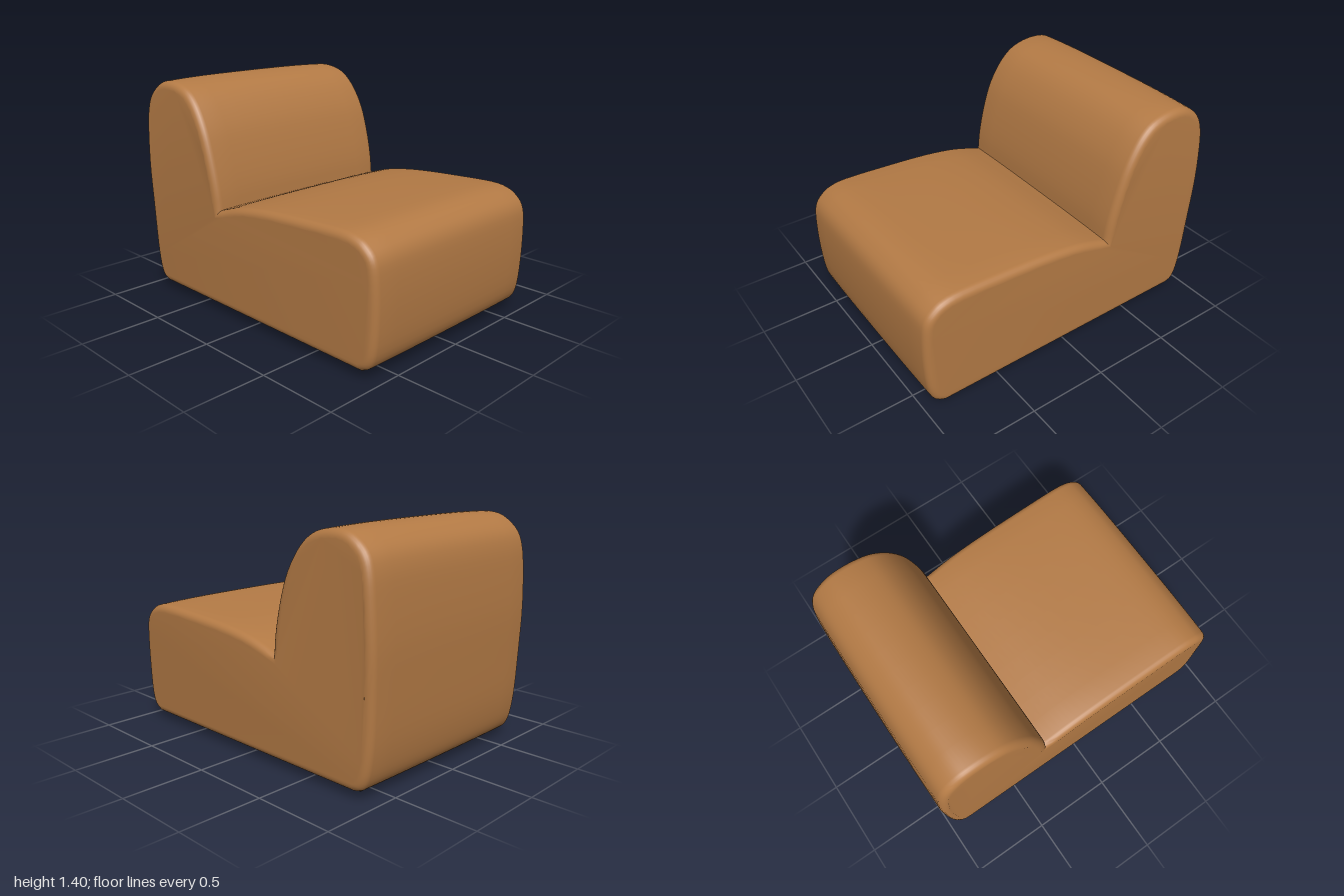
import * as THREE from 'three';
import { toCreasedNormals } from 'three/addons/utils/BufferGeometryUtils.js';

const material = (name, color) => {
  const m = new THREE.MeshStandardMaterial({ color });
  m.name = name;
  return m;
};
const points = (list) => list.map(([a, b]) => new THREE.Vector2(a, b));

// Side outline of the chair as (z, y): front and seat, then backrest and rear
const seatCurve = points([
  [0.95, 0.08], [0.985, 0.18], [1.0, 0.4], [0.995, 0.6], [0.975, 0.69], [0.93, 0.745],
  [0.87, 0.78], [0.76, 0.797], [0.5, 0.788], [0.2, 0.77], [0, 0.745], [-0.13, 0.715], [-0.262, 0.67],
]);
const backCurve = points([
  [-0.273, 0.77], [-0.297, 0.89], [-0.335, 1.03], [-0.375, 1.14], [-0.43, 1.24], [-0.49, 1.315],
  [-0.56, 1.367], [-0.65, 1.395], [-0.74, 1.402], [-0.82, 1.39], [-0.89, 1.35], [-0.943, 1.295],
  [-0.972, 1.22], [-0.988, 1.1], [-1.0, 0.85], [-0.995, 0.6], [-0.985, 0.35], [-0.968, 0.2],
  [-0.945, 0.11], [-0.91, 0.06], [-0.86, 0.042],
]);

function upholsteryGeometry() {
  const shape = new THREE.Shape();
  shape.moveTo(0.89, 0.042);
  shape.splineThru(seatCurve);
  shape.splineThru(backCurve);
  const round = 0.045;
  const depth = 1.4 - 2 * round;
  const geo = new THREE.ExtrudeGeometry(shape, {
    depth, steps: 10, curveSegments: 3,
    bevelEnabled: true, bevelThickness: round, bevelSize: round, bevelOffset: -round, bevelSegments: 6,
  });
  geo.translate(0, 0, -depth / 2);
  geo.rotateY(-Math.PI / 2);
  // Soft padding: widest at mid backrest, with top and ends easing off toward the sides
  const p = geo.attributes.position;
  const ramp = THREE.MathUtils.smoothstep;
  for (let i = 0; i < p.count; i++) {
    const x = p.getX(i), y = p.getY(i), z = p.getZ(i);
    const side = Math.abs(x / 0.7) ** 3;
    p.setXYZ(i,
      x * (0.98 + 0.02 * ramp(y, 0.3, 1.05) - 0.012 * ramp(y, 1.1, 1.4)),
      y - 0.013 * side * ramp(y, 0.55, 0.78),
      z * (1 - 0.006 * side));
  }
  return toCreasedNormals(geo, 0.7);
}

export function createModel() {
  const tan = material('tan leather', 0xb37a45);
  const black = material('black base', 0x1a1a1a);

  const group = new THREE.Group();
  group.name = 'loungeChair';
  const add = (name, geo, mat, x, y, z, parent = group) => {
    const mesh = new THREE.Mesh(geo, mat);
    mesh.name = name;
    mesh.position.set(x, y, z);
    parent.add(mesh);
  };

  add('upholstery', upholsteryGeometry(), tan, 0, 0, 0);
  add('undersideCover', new THREE.BoxGeometry(1.27, 0.004, 1.75), black, 0, 0.0405, 0);

  // Feet with glide pads, and small fixing screws beside them
  const footGeo = toCreasedNormals(new THREE.LatheGeometry(
    points([[0, 0.001], [0.036, 0.001], [0.046, 0.012], [0.05, 0.024], [0.05, 0.042]]), 24), 0.5);
  const padGeo = new THREE.CylinderGeometry(0.028, 0.028, 0.004, 20);
  const screwGeo = new THREE.CylinderGeometry(0.014, 0.014, 0.018, 10);
  const pinGeo = new THREE.CylinderGeometry(0.01, 0.01, 0.01, 8);
  for (const sx of [-1, 1]) {
    for (const sz of [-1, 1]) {
      const foot = new THREE.Group();
      foot.name = 'foot';
      foot.position.set(sx * 0.531 + 0.008, 0, sz * 0.773);
      group.add(foot);
      add('footBody', footGeo, black, 0, 0, 0, foot);
      add('footPad', padGeo, tan, 0, 0.002, 0, foot);
      add('screw', screwGeo, black, 0, 0.033, -sz * 0.135, foot);
      add('pin', pinGeo, black, -sx * 0.04, 0.035, -sz * 0.085, foot);
    }
  }
  return group;
}
